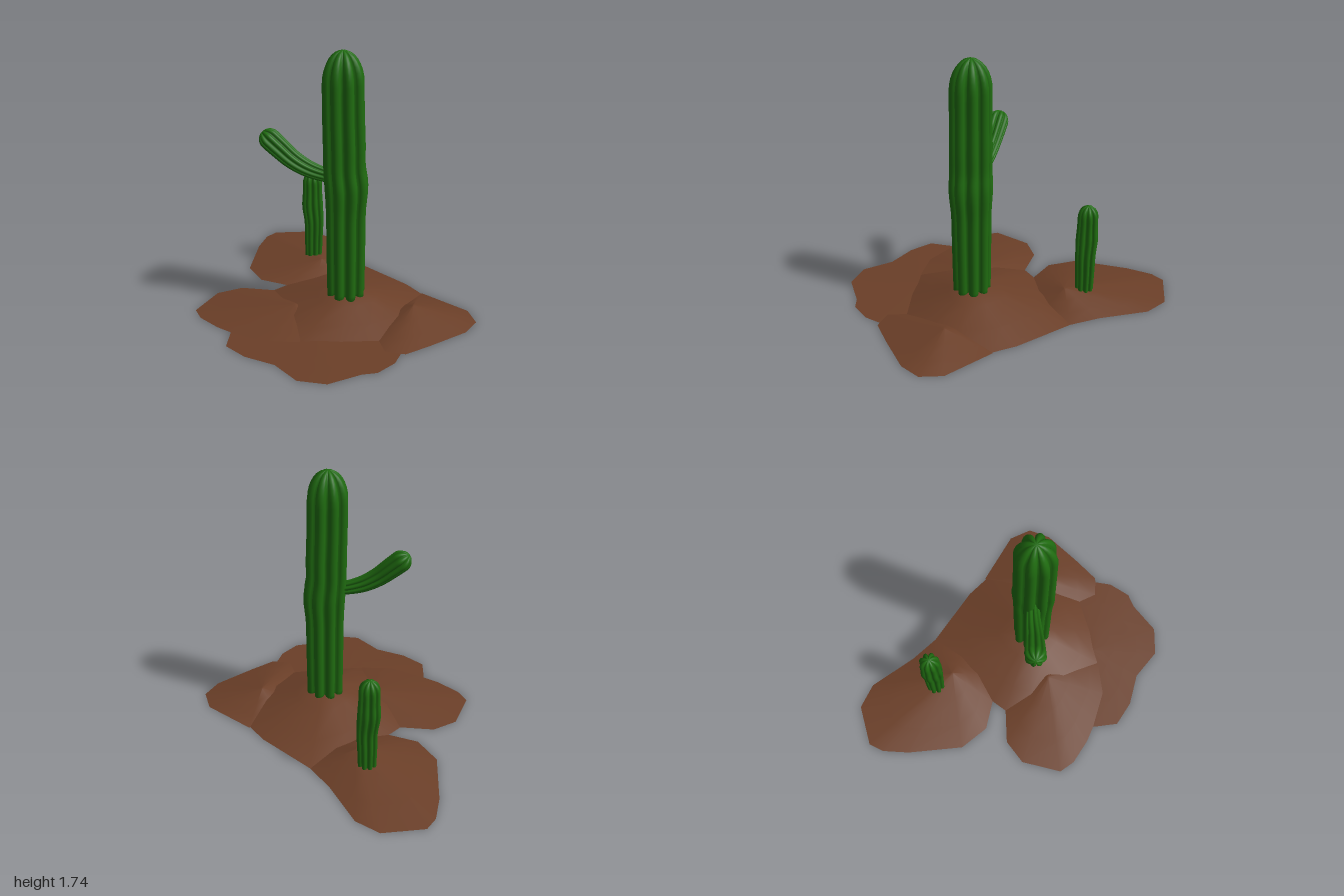
import * as THREE from 'three';

const green = new THREE.MeshStandardMaterial({ color: 0x1f6b10 });
const brown = new THREE.MeshStandardMaterial({ color: 0x6b3f28, side: THREE.DoubleSide });

function build(name, pos, idx, material) {
  const g = new THREE.BufferGeometry();
  g.setAttribute('position', new THREE.Float32BufferAttribute(pos, 3));
  g.setIndex(idx);
  g.computeVertexNormals();
  const mesh = new THREE.Mesh(g, material);
  mesh.name = name;
  return mesh;
}

// Ribbed stem: sections are [x, y, z, radius], finished with a rounded tip of the given height
function ribbedStem(name, sections, tip, ribs = 8) {
  const seg = ribs * 8, rings = 28, domeRings = 8;
  const path = new THREE.CatmullRomCurve3(sections.map(s => new THREE.Vector3(s[0], s[1], s[2])));
  const radii = new THREE.CatmullRomCurve3(sections.map((s, i) => new THREE.Vector3(i, s[3], 0)));
  const up = new THREE.Vector3(0, 1, 0), pos = [], idx = [];
  const addRing = (c, dir, r) => {
    const q = new THREE.Quaternion().setFromUnitVectors(up, dir);
    for (let j = 0; j < seg; j++) {
      const a = j / seg * Math.PI * 2;
      const rr = r * (0.58 + 0.42 * Math.sqrt(Math.abs(Math.cos((a - 0.1) * ribs / 2))));
      const p = new THREE.Vector3(Math.cos(a) * rr, 0, Math.sin(a) * rr).applyQuaternion(q).add(c);
      pos.push(p.x, p.y, p.z);
    }
  };
  for (let i = 0; i <= rings; i++) {
    const t = i / rings;
    addRing(path.getPoint(t), path.getTangent(t), radii.getPoint(t).y);
  }
  // Rounded tip
  const end = path.getPoint(1), dir = path.getTangent(1), rEnd = sections.at(-1)[3];
  for (let i = 1; i < domeRings; i++) {
    const a = i / domeRings * Math.PI / 2;
    addRing(end.clone().addScaledVector(dir, tip * Math.sin(a)), dir, rEnd * Math.cos(a));
  }
  const total = rings + domeRings;
  const pole = end.clone().addScaledVector(dir, tip), base = path.getPoint(0);
  const top = pos.length / 3;
  pos.push(pole.x, pole.y, pole.z, base.x, base.y, base.z);
  for (let j = 0; j < seg; j++) {
    const k = (j + 1) % seg;
    for (let i = 0; i < total - 1; i++) {
      const a = i * seg + j, b = i * seg + k;
      idx.push(a, a + seg, b, b, a + seg, b + seg);
    }
    const last = (total - 1) * seg;
    idx.push(last + j, top, last + k, j, k, top + 1);
  }
  return build(name, pos, idx, green);
}

// Low open mound: an irregular [x, z] outline on the ground rising to an apex or small plateau
function mound(name, [ax, ay, az], outline, plateau = 0.03) {
  const pos = [ax, ay, az], idx = [], n = outline.length;
  const levels = [plateau, 0.35, 0.7, 1];
  for (const s of levels) {
    const h = ay * Math.min(1, (1 - s) / (1 - plateau));
    for (const [x, z] of outline) pos.push(ax + (x - ax) * s, h, az + (z - az) * s);
  }
  for (let j = 0; j < n; j++) {
    const k = (j + 1) % n;
    idx.push(0, 1 + j, 1 + k);
    for (let i = 0; i < levels.length - 1; i++) {
      const a = 1 + i * n + j, b = 1 + i * n + k;
      idx.push(a, a + n, b, b, a + n, b + n);
    }
  }
  return build(name, pos, idx, brown);
}

export function createModel() {
  const model = new THREE.Group();
  model.name = 'desertCactus';

  // Cacti
  model.add(
    ribbedStem('mainCactus', [
      [0.07, 0.1, 0.1, 0.125], [0.07, 0.3, 0.1, 0.128], [0.07, 0.5, 0.1, 0.13],
      [0.07, 0.7, 0.1, 0.132], [0.073, 0.87, 0.1, 0.143], [0.062, 1.0, 0.105, 0.138],
      [0.06, 1.15, 0.105, 0.138], [0.055, 1.35, 0.107, 0.136], [0.053, 1.54, 0.107, 0.135],
    ], 0.205),
    ribbedStem('cactusArm', [
      [0.03, 0.925, 0.11, 0.04], [-0.08, 0.945, 0.125, 0.047], [-0.18, 0.98, 0.145, 0.055],
      [-0.27, 1.035, 0.165, 0.062], [-0.35, 1.105, 0.18, 0.068], [-0.405, 1.155, 0.19, 0.07],
    ], 0.07),
    ribbedStem('smallCactus', [
      [-0.41, 0.03, -0.5, 0.06], [-0.408, 0.2, -0.5, 0.066], [-0.405, 0.33, -0.5, 0.07],
      [-0.415, 0.45, -0.5, 0.076], [-0.415, 0.54, -0.5, 0.071], [-0.415, 0.62, -0.5, 0.069],
    ], 0.08),
  );

  // Ground mounds
  model.add(
    mound('backMound', [-0.31, 0.085, -0.4], [
      [-0.64, -1], [-0.89, -0.88], [-0.92, -0.78], [-0.9, -0.6], [-0.8, -0.24], [-0.64, -0.1],
      [-0.44, -0.09], [-0.25, -0.15], [-0.1, -0.35], [-0.06, -0.58], [-0.23, -0.71], [-0.47, -0.95],
    ]),
    mound('centreMound', [0.08, 0.14, 0.1], [
      [-0.06, -0.58], [-0.3, -0.36], [-0.44, -0.09], [-0.49, 0.01], [-0.5, 0.2], [-0.3, 0.5],
      [-0.04, 0.63], [0.2, 0.53], [0.42, 0.4], [0.6, 0.15], [0.6, -0.1], [0.47, -0.3], [0.33, -0.4],
    ], 0.18),
    mound('rightMound', [0.51, 0.085, 0.03], [
      [0.47, -0.31], [0.34, -0.1], [0.3, 0.1], [0.38, 0.38], [0.48, 0.52], [0.61, 0.49],
      [0.72, 0.34], [0.88, 0.1], [0.91, -0.05], [0.82, -0.18],
    ]),
    mound('sideMound', [-0.22, 0.07, 0.27], [
      [-0.48, 0.01], [-0.71, 0.06], [-0.83, 0.19], [-0.85, 0.46], [-0.77, 0.54], [-0.61, 0.61],
      [-0.45, 0.65], [-0.25, 0.7], [-0.02, 0.66], [0.15, 0.4], [0.05, 0.1], [-0.2, 0],
    ]),
    mound('frontGround', [0.05, 0.012, 0.55], [
      [-0.4, 0.35], [-0.5, 0.64], [-0.45, 0.8], [-0.29, 0.87], [-0.08, 0.89], [0.11, 1], [0.29, 0.97],
      [0.44, 0.8], [0.52, 0.75], [0.58, 0.61], [0.58, 0.5], [0.45, 0.3], [0, 0.2],
    ]),
  );
  return model;
}
